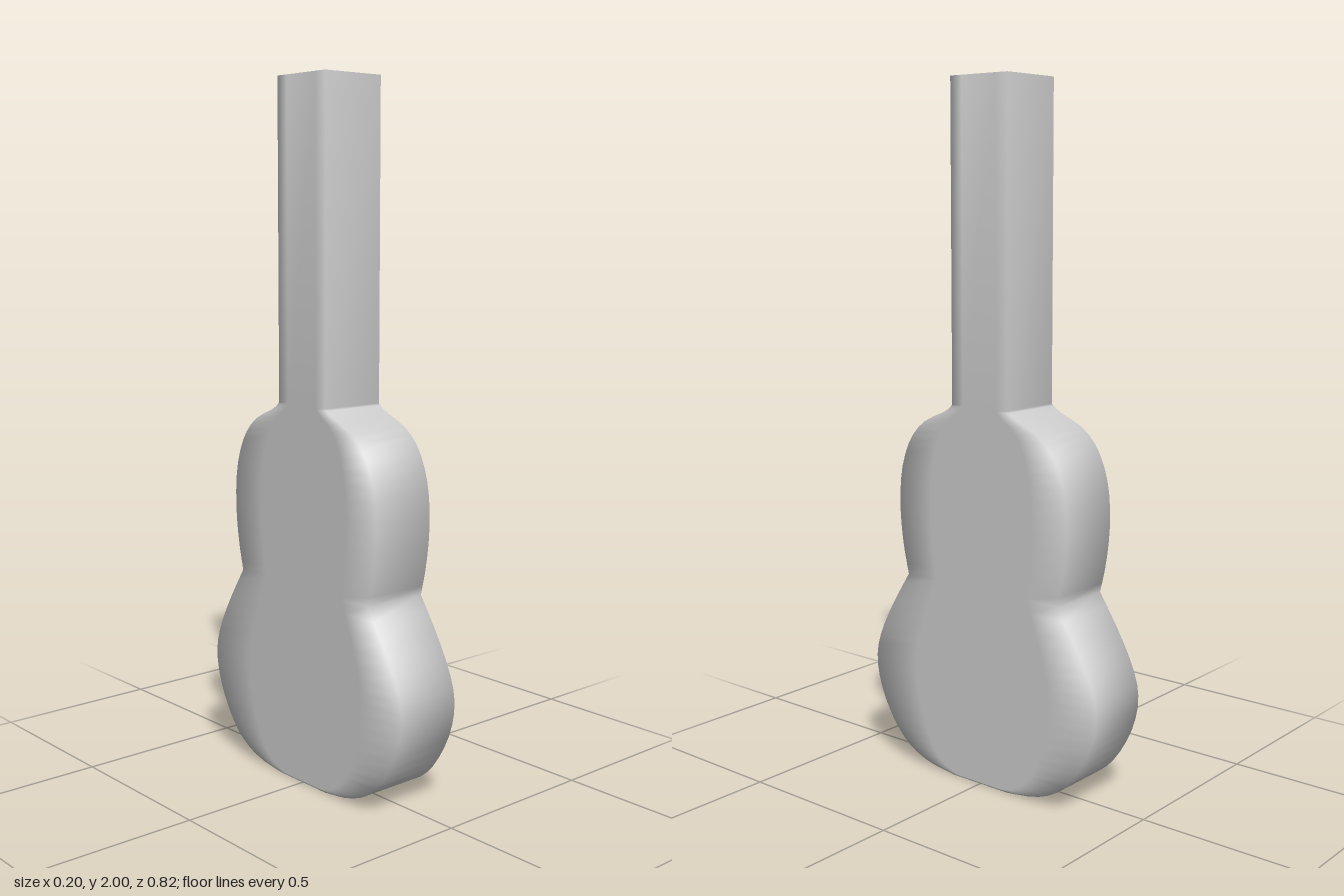
import * as THREE from 'three';

const HALF_DEPTH = 0.1;

// Smooth run of [half width, height] stations through a few points
function curve(points, steps) {
  return new THREE.SplineCurve(points.map(([w, y]) => new THREE.Vector2(w, y))).getPoints(steps);
}

// Loft of eight-point rings stacked upwards, closed at both ends, with shared smooth normals
function loft(stations) {
  const positions = [];
  const index = [];
  for (const { x: w, y } of stations) {
    const inner = w * 0.6;
    for (const z of [w, inner, -inner, -w]) positions.push(HALF_DEPTH, y, z);
    for (const z of [-w, -inner, inner, w]) positions.push(-HALF_DEPTH, y, z);
  }
  const quad = (a, b, c, d) => index.push(a, b, c, a, c, d);
  for (let j = 0; j < stations.length - 1; j++) {
    for (let i = 0; i < 8; i++) {
      const a = j * 8 + i;
      const b = j * 8 + ((i + 1) % 8);
      quad(a, b, b + 8, a + 8);
    }
  }
  const top = (stations.length - 1) * 8;
  for (let k = 0; k < 3; k++) {
    quad(top + k, top + k + 1, top + 6 - k, top + 7 - k);
    quad(7 - k, 6 - k, k + 1, k);
  }
  const geometry = new THREE.BufferGeometry();
  geometry.setAttribute('position', new THREE.Float32BufferAttribute(positions, 3));
  geometry.setIndex(index);
  geometry.computeVertexNormals();
  return geometry;
}

export function createModel() {
  const group = new THREE.Group();
  group.name = 'guitar';

  // Wide lower half of the body, up to the waist
  const lowerBody = curve([
    [0.1, 0], [0.2, 0.015], [0.28, 0.05], [0.34, 0.11], [0.39, 0.2],
    [0.41, 0.29], [0.395, 0.37], [0.345, 0.47], [0.275, 0.58],
  ], 20);
  // Narrower upper half, up to the shoulders
  const upperBody = curve([
    [0.275, 0.58], [0.295, 0.67], [0.306, 0.78], [0.298, 0.89],
    [0.265, 0.98], [0.21, 1.04], [0.125, 1.08], [0.1, 1.1],
  ], 18);
  // Straight square neck
  const neck = [new THREE.Vector2(0.1, 2)];

  const material = new THREE.MeshStandardMaterial({ color: 0xcccccc });
  const mesh = new THREE.Mesh(loft([...lowerBody, ...upperBody.slice(1), ...neck]), material);
  mesh.name = 'bodyAndNeck';
  group.add(mesh);
  return group;
}
